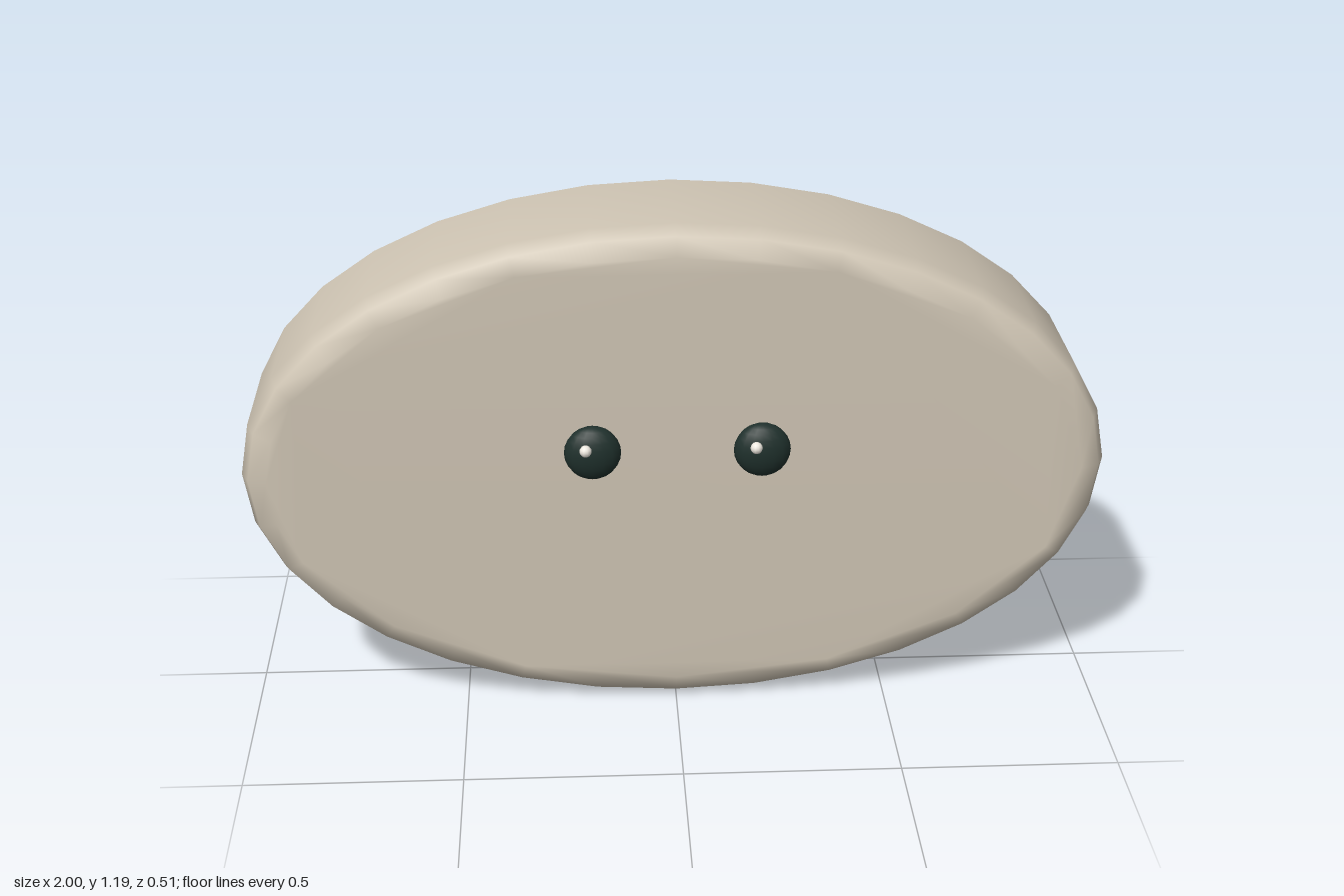
import * as THREE from 'three';
import { mergeVertices } from 'three/addons/utils/BufferGeometryUtils.js';

const material = (color) => new THREE.MeshStandardMaterial({ color });

// Oval slab with a rounded rim, smooth across the bevel
function createBody() {
  const bevel = 0.06;
  const shape = new THREE.Shape();
  shape.absellipse(0, 0, 1 - bevel, 0.595 - bevel, 0, Math.PI * 2);
  let geometry = new THREE.ExtrudeGeometry(shape, {
    depth: 0.3, curveSegments: 16,
    bevelThickness: bevel, bevelSize: bevel, bevelSegments: 2,
  });
  geometry.deleteAttribute('normal');
  geometry.deleteAttribute('uv');
  geometry = mergeVertices(geometry, 1e-4);
  geometry.computeVertexNormals();
  const body = new THREE.Mesh(geometry, material(0xcfc5b4));
  body.name = 'body';
  body.position.set(0, 0.6, -0.19);
  return body;
}

// Flattened bead with a small glint at its upper right
function createEye(side) {
  const eye = new THREE.Group();
  eye.name = side > 0 ? 'leftEye' : 'rightEye';
  eye.position.set(side * 0.193, 0.683, 0.21);

  const bead = new THREE.Mesh(new THREE.SphereGeometry(0.065, 16, 12), material(0x1f302c));
  bead.name = 'eyeBead';
  bead.scale.z = 0.54;

  const glint = new THREE.Mesh(new THREE.SphereGeometry(0.014, 10, 8), material(0xf0ebe2));
  glint.name = 'eyeGlint';
  glint.position.set(-0.016, 0.019, 0.034);

  eye.add(bead, glint);
  return eye;
}

export function createModel() {
  const model = new THREE.Group();
  model.name = 'ovalCharm';
  model.add(createBody(), createEye(1), createEye(-1));
  return model;
}
